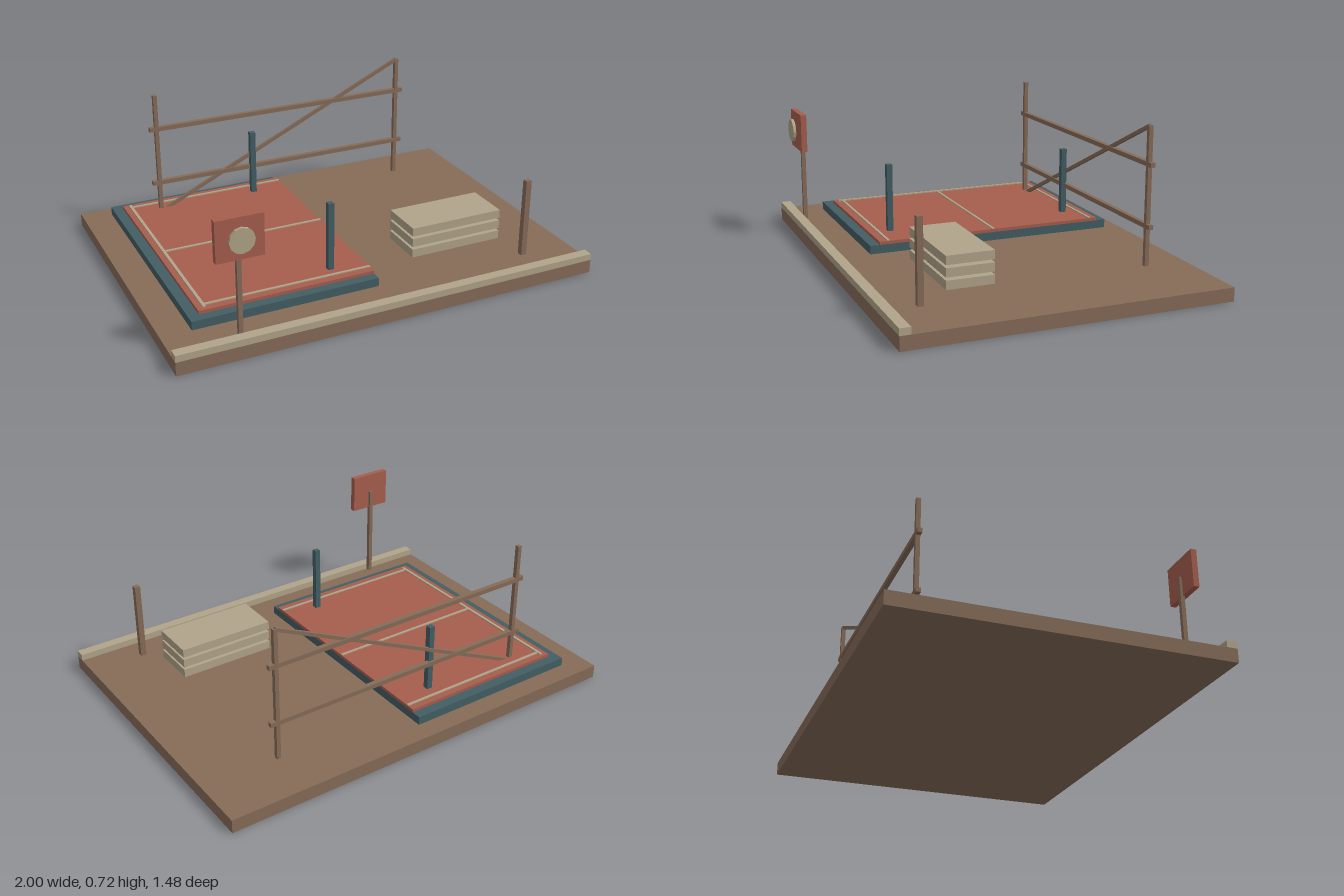
import * as THREE from 'three';

const material = (name, color) => {
  const m = new THREE.MeshStandardMaterial({ color });
  m.name = name;
  return m;
};

export function createModel() {
  const model = new THREE.Group();
  model.name = 'sportsCourt';
  const brown = material('earthBrown', 0x866c58);
  const red = material('clayRed', 0xa65e4e);
  const teal = material('darkTeal', 0x435e64);
  const tan = material('paleTan', 0xb1a58a);

  // Box given by its lower and upper limits on each axis
  const box = (name, mat, [x0, x1], [y0, y1], [z0, z1], parent = model) => {
    const mesh = new THREE.Mesh(new THREE.BoxGeometry(x1 - x0, y1 - y0, z1 - z0), mat);
    mesh.position.set((x0 + x1) / 2, (y0 + y1) / 2, (z0 + z1) / 2);
    mesh.name = name;
    parent.add(mesh);
    return mesh;
  };
  const around = (c, w) => [c - w / 2, c + w / 2];
  const group = (name) => {
    const g = new THREE.Group();
    g.name = name;
    model.add(g);
    return g;
  };

  // Ground slab and front kerb
  box('ground', brown, [-1, 1], [0, 0.063], [-0.74, 0.74]);
  box('kerb', tan, [-1, 1], [0.063, 0.094], [0.692, 0.74]);

  // Half court: border, playing surface, lines
  const court = group('court');
  box('courtBorder', teal, [-0.865, 0], [0.07, 0.11], [-0.655, 0.55], court);
  box('courtSurface', red, [-0.818, 0], [0.11, 0.125], [-0.608, 0.505], court);
  box('baseLine', tan, around(-0.785, 0.014), [0.125, 0.131], [-0.592, 0.485], court);
  for (const z of [-0.57, -0.058, 0.463])
    box('courtLine', tan, [-0.778, 0], [0.125, 0.13], around(z, 0.012), court);

  // Net posts
  for (const z of [-0.504, 0.403])
    box('netPost', teal, around(-0.167, 0.027), [0.115, 0.446], around(z, 0.027));

  // Back fence with two rails and a diagonal brace
  const fence = group('fence');
  const fenceZ = -0.516;
  for (const x of [-0.65, 0.645])
    box('fencePost', brown, around(x, 0.019), [0.08, 0.71], around(fenceZ, 0.02), fence);
  for (const y of [0.262, 0.54])
    box('fenceRail', brown, [-0.685, 0.68], around(y, 0.021), around(fenceZ, 0.022), fence);
  const low = new THREE.Vector2(-0.65, 0.105), high = new THREE.Vector2(0.645, 0.708);
  const run = high.clone().sub(low);
  const brace = box('fenceBrace', brown, around(0, run.length()), around(0, 0.016), around(0, 0.014), fence);
  brace.position.set((low.x + high.x) / 2, (low.y + high.y) / 2, fenceZ);
  brace.rotation.z = run.angle();

  // Sign with a round plate standing off its face
  const sign = group('sign');
  box('signPost', brown, around(-0.702, 0.02), [0.063, 0.532], around(0.682, 0.02), sign);
  box('signBoard', red, [-0.806, -0.598], [0.44, 0.625], [0.684, 0.712], sign);
  const disc = new THREE.Mesh(new THREE.CylinderGeometry(0.056, 0.056, 0.014, 12), tan);
  disc.material.flatShading = true;
  disc.rotation.x = Math.PI / 2;
  disc.position.set(-0.702, 0.534, 0.732);
  disc.name = 'signDisc';
  sign.add(disc);

  // Stacked slabs
  const stack = group('slabStack');
  for (const y of [0.125, 0.178, 0.231])
    box('slab', tan, [0.23, 0.69], around(y, 0.04), [0.222, 0.438], stack);

  // Lone corner post
  box('cornerPost', brown, around(0.739, 0.027), [0.073, 0.446], around(0.568, 0.027));

  return model;
}
